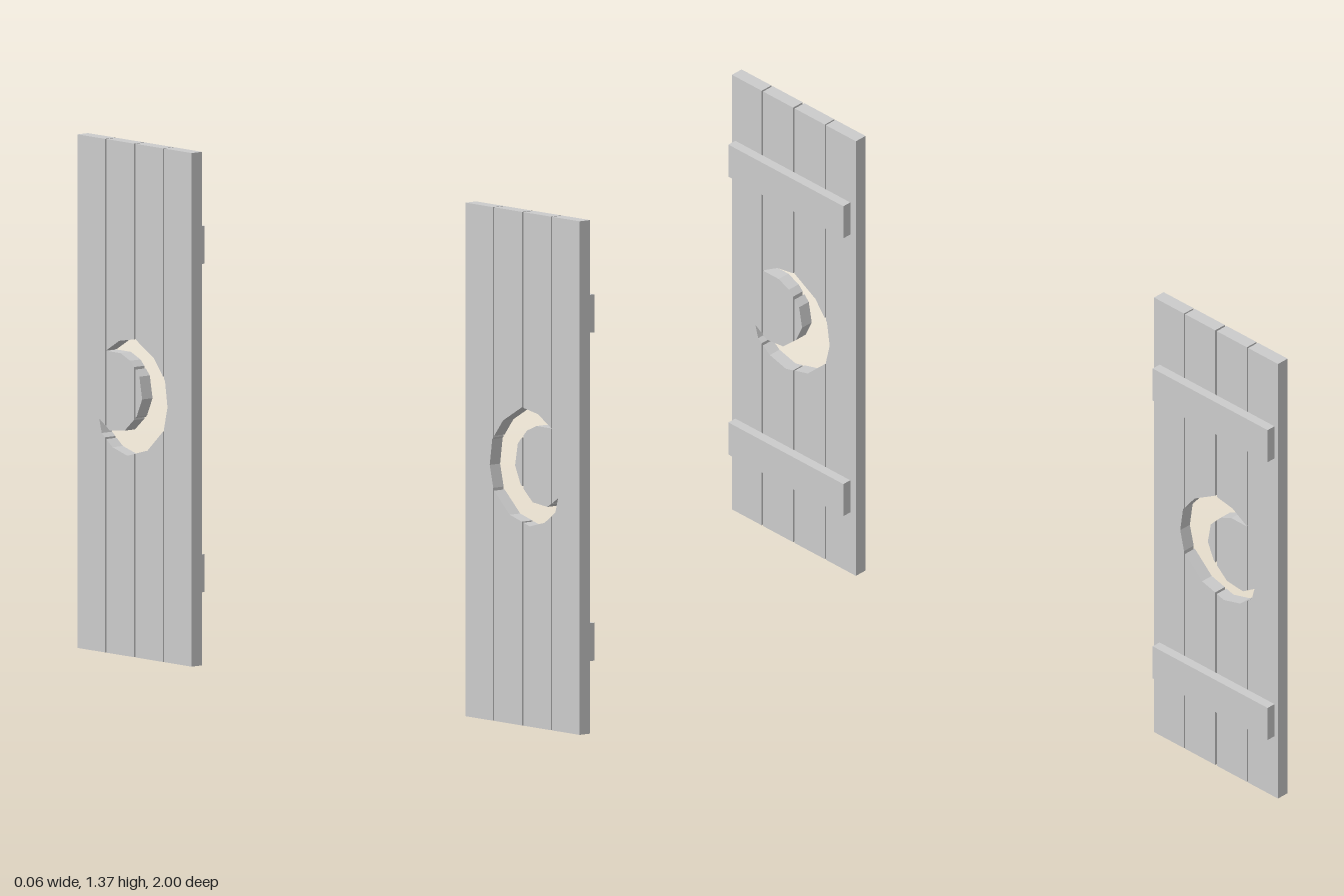
import * as THREE from 'three';

const H = 1.356;          // shutter height
const FRONT = 0.004;      // x of the plank faces that carry the battens
const PLANK_T = 0.036;
const BATTEN_T = 0.026;

// Plank outlines as [z, y]; the moon cut-out splits the two middle planks.
const planks = {
  outerPlank: [
    [[1, 0], [0.891, 0], [0.891, 0.568], [0.904, 0.578], [0.914, 0.615], [0.891, 0.6], [0.891, H], [1, H]],
  ],
  outerMiddlePlank: [
    [[0.886, H], [0.886, 0.798], [0.834, 0.829], [0.776, 0.839], [0.776, H]],
    [[0.886, 0.797], [0.829, 0.797], [0.791, 0.781], [0.776, 0.766], [0.776, 0.626], [0.813, 0.594], [0.872, 0.588], [0.886, 0.597]],
    [[0.886, 0], [0.886, 0.564], [0.861, 0.545], [0.802, 0.529], [0.776, 0.536], [0.776, 0]],
  ],
  innerMiddlePlank: [
    [[0.77, H], [0.77, 0.84], [0.695, 0.797], [0.66, 0.753], [0.66, H]],
    [[0.77, 0.76], [0.754, 0.743], [0.743, 0.684], [0.765, 0.636], [0.77, 0.632]],
    [[0.77, 0], [0.77, 0.538], [0.722, 0.551], [0.66, 0.608], [0.66, 0]],
  ],
  innerPlank: [
    [[0.546, 0], [0.546, H], [0.656, H], [0.656, 0.748], [0.652, 0.743], [0.642, 0.674], [0.656, 0.615], [0.656, 0]],
  ],
};

function createShutter(name, side, lift, material) {
  const shutter = new THREE.Group();
  shutter.name = name;
  shutter.position.y = lift;

  // Vertical planks, extruded through their thickness
  for (const [plankName, outlines] of Object.entries(planks)) {
    const shapes = outlines.map((pts) =>
      new THREE.Shape(pts.map(([z, y]) => new THREE.Vector2(z * side, y))));
    const geometry = new THREE.ExtrudeGeometry(shapes, { depth: PLANK_T, bevelEnabled: false });
    geometry.rotateY(-Math.PI / 2).translate(FRONT, 0, 0);
    const plank = new THREE.Mesh(geometry, material);
    plank.name = plankName;
    shutter.add(plank);
  }

  // Horizontal battens across the planks
  for (const [battenName, y] of [['lowerBatten', 0.239], ['upperBatten', 1.106]]) {
    const batten = new THREE.Mesh(new THREE.BoxGeometry(BATTEN_T, 0.1, 0.421), material);
    batten.name = battenName;
    batten.position.set(FRONT + BATTEN_T / 2, y, 0.777 * side);
    shutter.add(batten);
  }
  return shutter;
}

export function createModel() {
  const model = new THREE.Group();
  model.name = 'moonShutters';
  const material = new THREE.MeshStandardMaterial({ color: 0xcccccc, flatShading: true });
  model.add(createShutter('frontShutter', 1, 0, material));
  model.add(createShutter('backShutter', -1, 0.012, material));
  return model;
}
